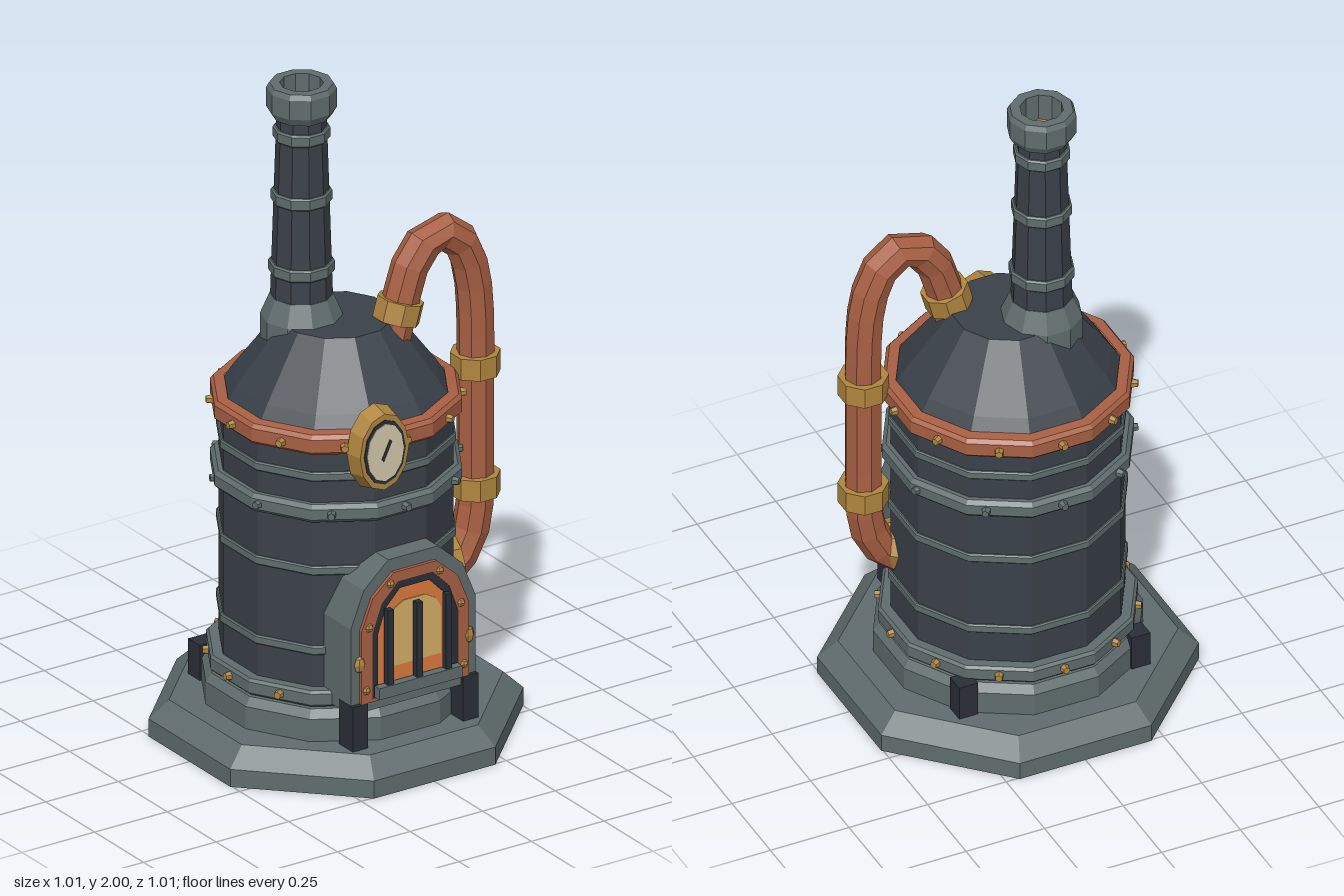
import * as THREE from 'three';

const mat = (name, color) => {
  const m = new THREE.MeshStandardMaterial({ color, flatShading: true, side: THREE.DoubleSide });
  m.name = name;
  return m;
};

export function createModel() {
  const root = new THREE.Group();
  const iron = mat('dark iron', 0x3a4149), steel = mat('grey steel', 0x5f6c6d);
  const black = mat('black iron', 0x2a2f37), copper = mat('copper', 0xa85f43);
  const brass = mat('brass', 0xb0863f), fire = mat('fire orange', 0xdb7a3e);
  const glow = mat('glow yellow', 0xd4ad66), cream = mat('dial cream', 0xd2c7ab);

  const add = (name, geo, material, x = 0, y = 0, z = 0, parent = root) => {
    const m = new THREE.Mesh(geo, material);
    m.name = name;
    m.position.set(x, y, z);
    parent.add(m);
    return m;
  };
  // Turned prism with flat sides facing the axes; the profile gives [apothem, y]
  const turned = (sides, profile) => {
    const k = 1 / Math.cos(Math.PI / sides);
    const pts = profile.map(([r, y]) => new THREE.Vector2(r * k, y));
    return new THREE.LatheGeometry(pts, sides, Math.PI / sides);
  };
  const band = (sides, r, y0, y1, c = 0.008) => turned(sides,
    [[r - 0.04, y0], [r - c, y0], [r, y0 + c], [r, y1 - c], [r - c, y1], [r - 0.04, y1]]);
  const box = (w, h, d) => new THREE.BoxGeometry(w, h, d);

  // Stepped base
  add('base', turned(8, [[0, 0], [0.505, 0], [0.505, 0.055], [0.45, 0.11], [0, 0.11]]), steel);
  add('plinth', turned(12, [[0.38, 0.1], [0.38, 0.18], [0.362, 0.205], [0.3, 0.205]]), steel);

  // Boiler drum and sloping roof
  add('boiler', turned(12, [[0.33, 0.19], [0.33, 1.03]]), iron);
  add('roof', turned(12, [[0.33, 1.03], [0.315, 1.055], [0.29, 1.095], [0.16, 1.275], [0, 1.275]]), iron);
  for (const y of [0.375, 0.625, 0.92]) add('thinBand', band(12, 0.338, y - 0.014, y + 0.014, 0.004), steel);
  add('lowerBand', band(12, 0.366, 0.21, 0.26), steel);
  add('upperBand', band(12, 0.355, 0.782, 0.838, 0.012), steel);
  add('copperBand', turned(12, [[0.32, 0.995], [0.345, 0.995], [0.355, 1.005], [0.355, 1.045],
    [0.345, 1.057], [0.315, 1.06]]), copper);

  // Rivets around the bands
  const rivet = new THREE.CylinderGeometry(0.011, 0.016, 0.03, 6).rotateX(Math.PI / 2);
  const rivetRing = (name, n, r, y, material) => {
    for (let i = 0; i < n; i++) {
      const a = (i / n) * Math.PI * 2;
      add(name, rivet, material, Math.sin(a) * r, y, Math.cos(a) * r).rotation.y = a;
    }
  };
  rivetRing('lowerRivet', 12, 0.368, 0.235, brass);
  rivetRing('upperRivet', 10, 0.36, 0.81, steel);
  rivetRing('copperBandRivet', 12, 0.358, 1.022, brass);

  // Feet
  for (const s of [-1, 1]) {
    add('frontFoot', box(0.052, 0.15, 0.07), black, s * 0.19, 0.175, 0.372);
    add('backFoot', box(0.06, 0.12, 0.06), black, s * 0.274, 0.16, -0.275);
  }

  // Arched firebox door
  const archPoints = (w, y0, ys, top) => {
    const half = [[w, y0], [w, ys], [w * 0.79, ys + (top - ys) * 0.6], [w * 0.4, top]];
    return [...half, ...half.map(([x, y]) => [-x, y]).reverse()].map(p => new THREE.Vector2(...p));
  };
  const arch = (depth, outer, inner) => {
    const shape = new THREE.Shape(archPoints(...outer));
    if (inner) shape.holes.push(new THREE.Path(archPoints(...inner)));
    return new THREE.ExtrudeGeometry(shape, { depth, bevelEnabled: false });
  };
  const door = new THREE.Group();
  door.name = 'fireDoor';
  root.add(door);
  const rim = [0.185, 0.25, 0.48, 0.638], inset = [0.147, 0.26, 0.465, 0.607], mouth = [0.127, 0.275, 0.455, 0.583];
  add('doorFrame', arch(0.175, [0.215, 0.22, 0.49, 0.677]), steel, 0, 0, 0.22, door);
  add('copperRim', arch(0.011, rim, inset), copper, 0, 0, 0.395, door);
  add('innerRim', arch(0.008, inset, mouth), black, 0, 0, 0.395, door);
  add('fire', arch(0.003, mouth), fire, 0, 0, 0.395, door);
  add('fireGlow', arch(0.003, [0.092, 0.342, 0.49, 0.54]), glow, 0, 0, 0.398, door);
  add('grateRail', box(0.286, 0.036, 0.026), steel, 0, 0.283, 0.422, door);
  for (const x of [-0.1, 0, 0.1]) add('grateBar', box(0.02, 0.27, 0.02), black, x, 0.4, 0.42, door);
  const stud = new THREE.SphereGeometry(0.014, 6, 4);
  for (const s of [-1, 1]) {
    for (const [x, y] of [[0.168, 0.29], [0.158, 0.485], [0.085, 0.605]])
      add('doorStud', stud, brass, s * x, y, 0.403, door);
    add('doorHinge', stud, brass, s * 0.187, 0.375, 0.4, door).scale.set(1.4, 1.9, 0.9);
  }

  // Oval pressure gauge
  const gauge = new THREE.Group();
  gauge.name = 'gauge';
  gauge.position.set(-0.085, 1.008, 0.32);
  gauge.scale.set(1, 1.42, 1);
  root.add(gauge);
  const disc = (r0, r1, h) => new THREE.CylinderGeometry(r0, r1, h, 12).rotateX(Math.PI / 2);
  add('gaugeCase', disc(0.084, 0.094, 0.055), brass, 0, 0, 0.0275, gauge);
  add('gaugeRing', disc(0.071, 0.071, 0.004), black, 0, 0, 0.056, gauge);
  add('gaugeFace', disc(0.063, 0.063, 0.004), cream, 0, 0, 0.058, gauge);
  add('gaugeNeedle', box(0.009, 0.05, 0.003), black, 0.004, 0.004, 0.061, gauge).rotation.z = -0.6;

  // Chimney
  const chimney = new THREE.Group();
  chimney.name = 'chimney';
  chimney.position.set(-0.075, 0, -0.065);
  root.add(chimney);
  add('chimneyCollar', turned(10, [[0.113, 1.14], [0.113, 1.275], [0.087, 1.34], [0.06, 1.34]]), steel, 0, 0, 0, chimney);
  add('chimneyPipe', turned(10, [[0.086, 1.32], [0.068, 1.92]]), iron, 0, 0, 0, chimney);
  for (const [r, y] of [[0.091, 1.428], [0.084, 1.65], [0.079, 1.847]])
    add('chimneyBand', band(10, r, y - 0.019, y + 0.019, 0.005), steel, 0, 0, 0, chimney);
  add('chimneyCap', turned(10, [[0.06, 1.9], [0.082, 1.9], [0.096, 1.925], [0.096, 1.985], [0.088, 2],
    [0.06, 2], [0.06, 1.9]]), steel, 0, 0, 0, chimney);
  add('chimneyEmbers', turned(10, [[0.062, 1.915], [0, 1.915]]), fire, 0, 0, 0, chimney);

  // Bent steam pipe with brass couplings
  const pipeZ = 0.103;
  const path = new THREE.CatmullRomCurve3([
    [0.12, 1.2], [0.155, 1.33], [0.195, 1.44], [0.275, 1.508], [0.36, 1.455], [0.402, 1.32], [0.41, 1.2],
    [0.41, 0.95], [0.41, 0.75], [0.408, 0.62], [0.375, 0.5], [0.3, 0.43],
  ].map(([x, y]) => new THREE.Vector3(x, y, pipeZ)));
  add('steamPipe', new THREE.TubeGeometry(path, 20, 0.055, 8), copper);
  const coupling = (name, x, y, r, h, tilt) =>
    add(name, new THREE.CylinderGeometry(r, r, h, 8).rotateY(Math.PI / 8), brass, x, y, pipeZ).rotation.z = tilt;
  coupling('roofCoupling', 0.145, 1.295, 0.07, 0.065, -0.27);
  coupling('upperCoupling', 0.41, 1.065, 0.074, 0.066, 0);
  coupling('lowerCoupling', 0.41, 0.685, 0.074, 0.066, 0);
  const flange = add('boilerFlange', new THREE.CylinderGeometry(0.066, 0.08, 0.05, 8).rotateZ(-Math.PI / 2),
    brass, 0.318, 0.468, 0.11);
  flange.rotation.set(0, -0.25, 0.12);

  return root;
}
